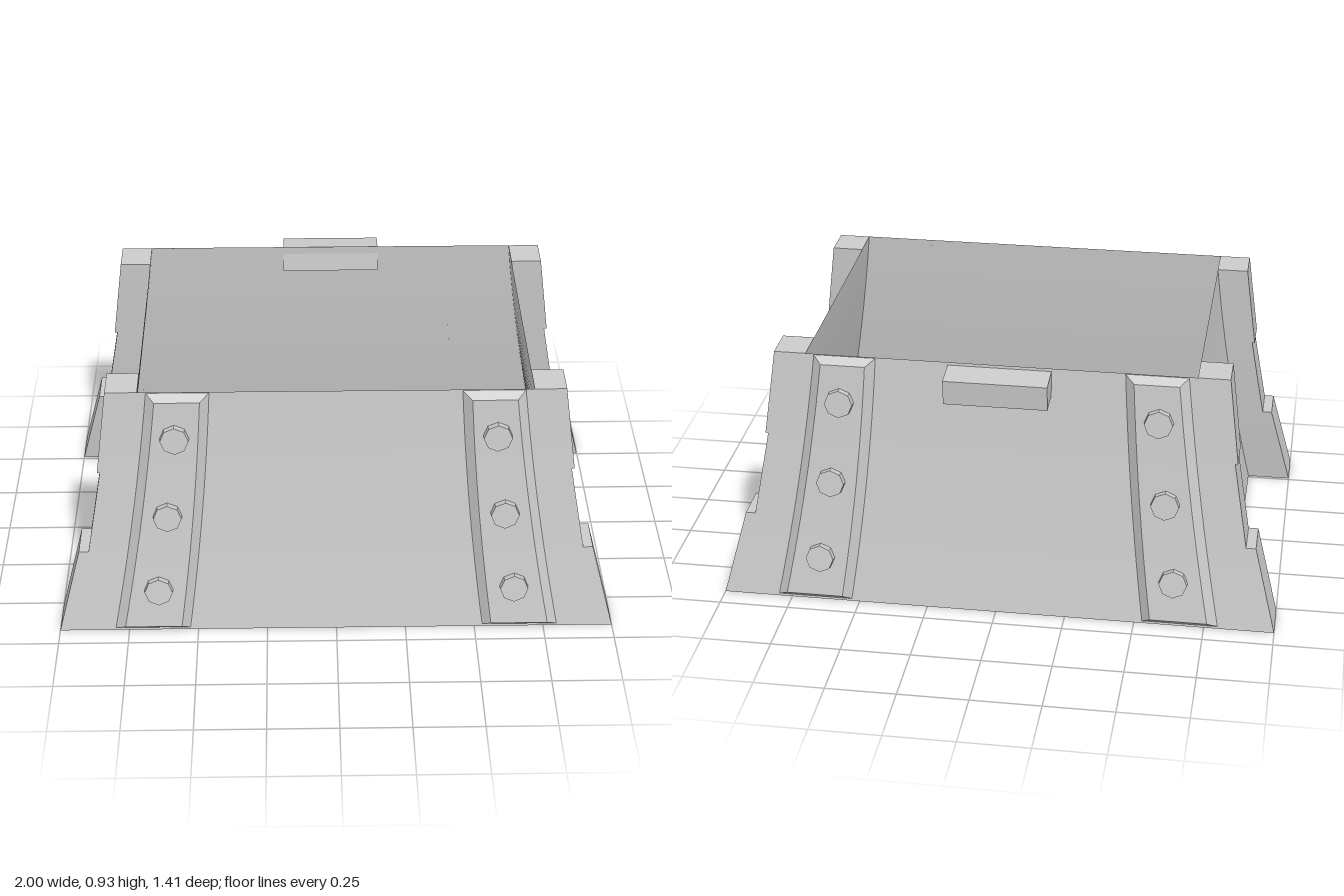
import * as THREE from 'three';

const H = 0.925, STEPS = 12;
const material = new THREE.MeshStandardMaterial({ color: 0xcccccc, flatShading: true, side: THREE.DoubleSide });

// Concave flare shared by the walls, corner guards and straps: 0 at the foot, 1 at the rim
const flare = (y) => { const u = y / H; return u + 0.36 * u * (1 - u); };
const wallX = (y) => 0.84 - 0.15 * flare(y);
const wallZ = (y) => 0.67 - 0.12 * flare(y);
const strapX = (y) => 0.665 - 0.115 * flare(y);
const lerp = THREE.MathUtils.lerp;

// Skin a stack of four-point rings, counter-clockwise from above
function loft(rings, { sx = 1, sz = 1, closed = false, top = true, bottom = true } = {}) {
  const pos = [];
  const put = (...pts) => {
    if (sx * sz < 0) pts.reverse();
    for (const i of [0, 1, 2, 0, 2, 3]) pos.push(pts[i][0] * sx, pts[i][1], pts[i][2] * sz);
  };
  for (let r = 0; r < rings.length - 1; r++) {
    const a = rings[r], b = rings[r + 1];
    for (let i = 0; i < (closed ? 4 : 3); i++) {
      const j = (i + 1) % 4;
      put(a[i], a[j], b[j], b[i]);
    }
  }
  if (top) put(...rings[rings.length - 1]);
  if (bottom) put(...[...rings[0]].reverse());
  const geo = new THREE.BufferGeometry();
  geo.setAttribute('position', new THREE.Float32BufferAttribute(pos, 3));
  geo.computeVertexNormals();
  return geo;
}

const rings = (n, fn) => Array.from({ length: n + 1 }, (_, i) => fn(i / n));

function add(parent, name, geo) {
  const mesh = new THREE.Mesh(geo, material);
  mesh.name = name;
  parent.add(mesh);
  return mesh;
}

// Three stepped blocks: outer x at the foot and at the top of each
const TIERS = [[1.0, 0.92], [0.885, 0.832], [0.842, 0.803]];

function cornerGuard(sx, sz) {
  const group = new THREE.Group();
  group.name = 'cornerGuard';
  TIERS.forEach(([x0, x1], k) => {
    const section = rings(STEPS / 3, (t) => {
      const y = (H / 3) * (k + t), xi = wallX(y), xo = lerp(x0, x1, t);
      const zo = wallZ(y), zi = zo - 0.16 + 0.025 * flare(y);
      return [[xi, y, zo], [xo, y, zo], [xo, y, zi], [xi, y, zi]];
    });
    add(group, 'guardBlock', loft(section, { sx, sz }));
  });
  return group;
}

// Bevelled curved strap with three bolts
function strap(sx, sz) {
  const group = new THREE.Group();
  group.name = 'strap';
  const section = rings(STEPS, (t) => {
    const yb = lerp(0.008, 0.922, t), yf = lerp(0.03, 0.9, t);
    const wb = lerp(0.135, 0.11, t), wf = lerp(0.102, 0.079, t);
    const xb = strapX(yb), xf = strapX(yf), zb = wallZ(yb), zf = wallZ(yf) + 0.03;
    return [[xb - wb, yb, zb], [xf - wf, yf, zf], [xf + wf, yf, zf], [xb + wb, yb, zb]];
  });
  add(group, 'strapBand', loft(section, { sx, sz }));
  for (const y of [0.177, 0.465, 0.765]) {
    const bolt = add(group, 'bolt', new THREE.CylinderGeometry(0.05, 0.052, 0.04, 8));
    const slope = (wallZ(y - 0.05) - wallZ(y + 0.05)) / 0.1;
    bolt.position.set(sx * strapX(y), y, sz * (wallZ(y) + 0.036));
    bolt.quaternion.setFromUnitVectors(
      new THREE.Vector3(0, 1, 0), new THREE.Vector3(0, slope, sz).normalize());
  }
  return group;
}

export function createModel() {
  const model = new THREE.Group();
  model.name = 'openCrate';

  // Thin flared walls with a floor and an open top
  const section = rings(STEPS, (t) => {
    const y = t * H, x = wallX(y), z = wallZ(y);
    return [[-x, y, z], [x, y, z], [x, y, -z], [-x, y, -z]];
  });
  add(model, 'wallsAndFloor', loft(section, { closed: true, top: false }));

  for (const sx of [-1, 1]) for (const sz of [-1, 1]) {
    model.add(cornerGuard(sx, sz), strap(sx, sz));
  }

  // Grip on the back rim, tilted slightly with the wall
  const grip = add(model, 'backGrip', new THREE.BoxGeometry(0.365, 0.092, 0.11));
  grip.position.set(0, 0.865, -0.605);
  grip.rotation.x = -0.1;
  return model;
}
